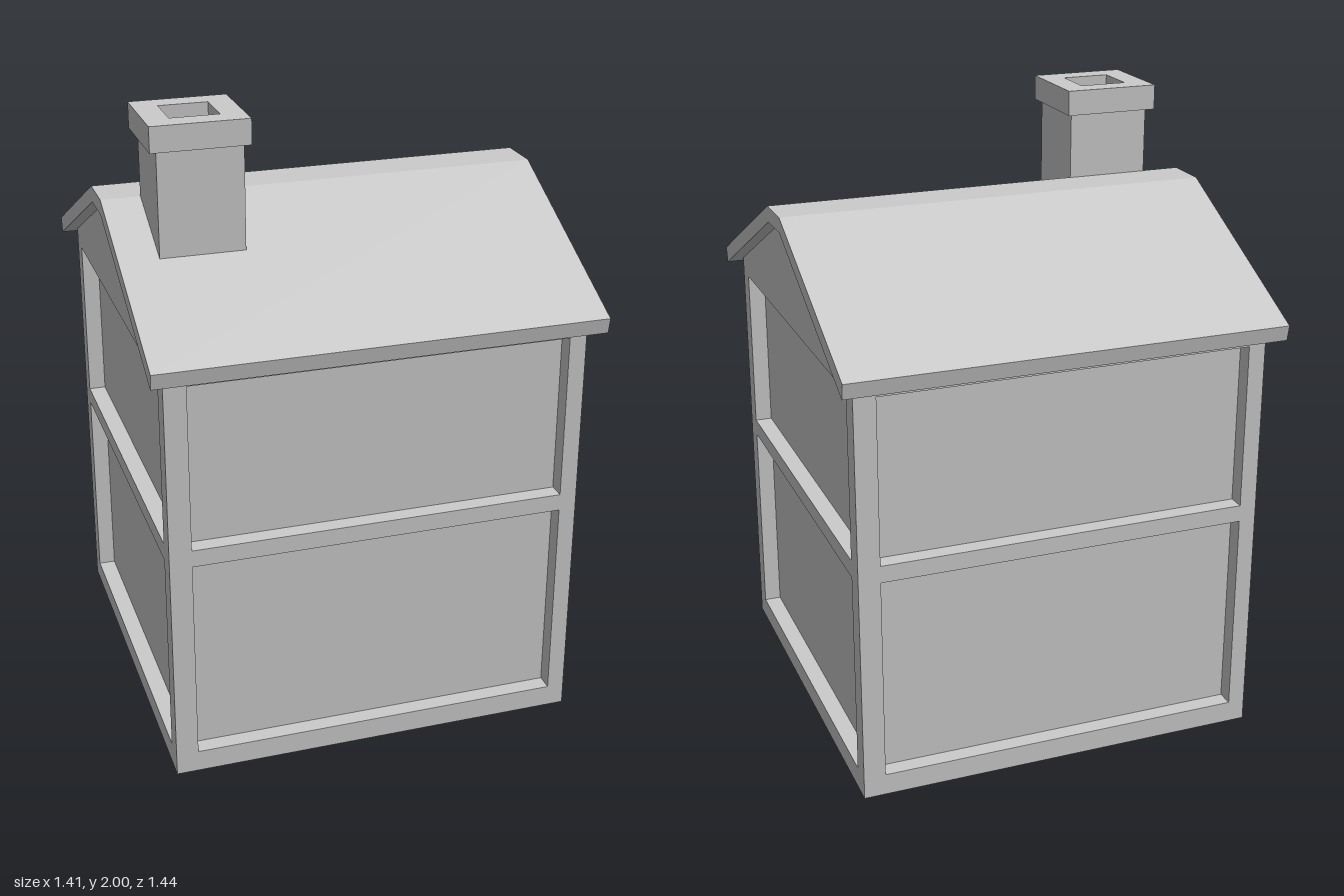
import * as THREE from 'three';

const material = new THREE.MeshStandardMaterial({ color: 0xcccccc, flatShading: true });

const HALF = 0.66;    // half width of the house
const RECESS = 0.055; // depth of the wall panels

function polygon(points) {
  return new THREE.Shape(points.map(([x, y]) => new THREE.Vector2(x, y)));
}

function rectangle(x0, x1, y0, y1) {
  return [[x0, y0], [x1, y0], [x1, y1], [x0, y1]];
}

function extrude(shape, depth) {
  return new THREE.ExtrudeGeometry(shape, { depth, bevelEnabled: false });
}

function add(parent, name, geometry) {
  const mesh = new THREE.Mesh(geometry, material);
  mesh.name = name;
  parent.add(mesh);
  return mesh;
}

// Wall frame with two openings, one per storey, facing +z
function wallFrame(outline, x0, x1) {
  const shape = polygon(outline);
  for (const [y0, y1] of [[0.07, 0.735], [0.79, 1.325]]) {
    shape.holes.push(polygon(rectangle(x0, x1, y0, y1)));
  }
  return extrude(shape, RECESS).translate(0, 0, HALF - RECESS);
}

export function createModel() {
  const model = new THREE.Group();
  model.name = 'house';

  // Inner body, seen as the recessed panels
  const inner = 2 * (HALF - RECESS);
  add(model, 'wallPanels', new THREE.BoxGeometry(inner, 1.36, inner).translate(0, 0.68, 0));

  // Front and back frames
  const front = wallFrame(rectangle(-HALF, HALF, 0, 1.37), -0.59, 0.605);
  add(model, 'frontFrame', front);
  add(model, 'backFrame', front).rotation.y = Math.PI;

  // Gabled side frames
  const gable = wallFrame([
    [-HALF, 0], [HALF, 0], [HALF, 1.38], [0.07, 1.665], [-0.07, 1.665], [-HALF, 1.38],
  ], -0.593, 0.593);
  add(model, 'rightGable', gable).rotation.y = Math.PI / 2;
  add(model, 'leftGable', gable).rotation.y = -Math.PI / 2;

  // Roof slab with a flat ridge
  const roof = extrude(polygon([
    [0.71, 1.35], [0.72, 1.4], [0.073, 1.71], [-0.073, 1.71], [-0.72, 1.4],
    [-0.71, 1.35], [-0.067, 1.66], [0.067, 1.66],
  ]), 1.41);
  roof.translate(0, 0, -0.705).rotateY(Math.PI / 2);
  add(model, 'roof', roof);

  // Chimney with a hollow cap
  const chimney = new THREE.Group();
  chimney.name = 'chimney';
  add(chimney, 'chimneyStack',
    new THREE.BoxGeometry(0.265, 0.37, 0.25).translate(-0.448, 1.735, 0.195));
  const cap = polygon(rectangle(-0.603, -0.298, -0.34, -0.05));
  cap.holes.push(polygon(rectangle(-0.527, -0.373, -0.266, -0.122)));
  add(chimney, 'chimneyCap', extrude(cap, 0.08).rotateX(-Math.PI / 2).translate(0, 1.92, 0));
  model.add(chimney);

  return model;
}
